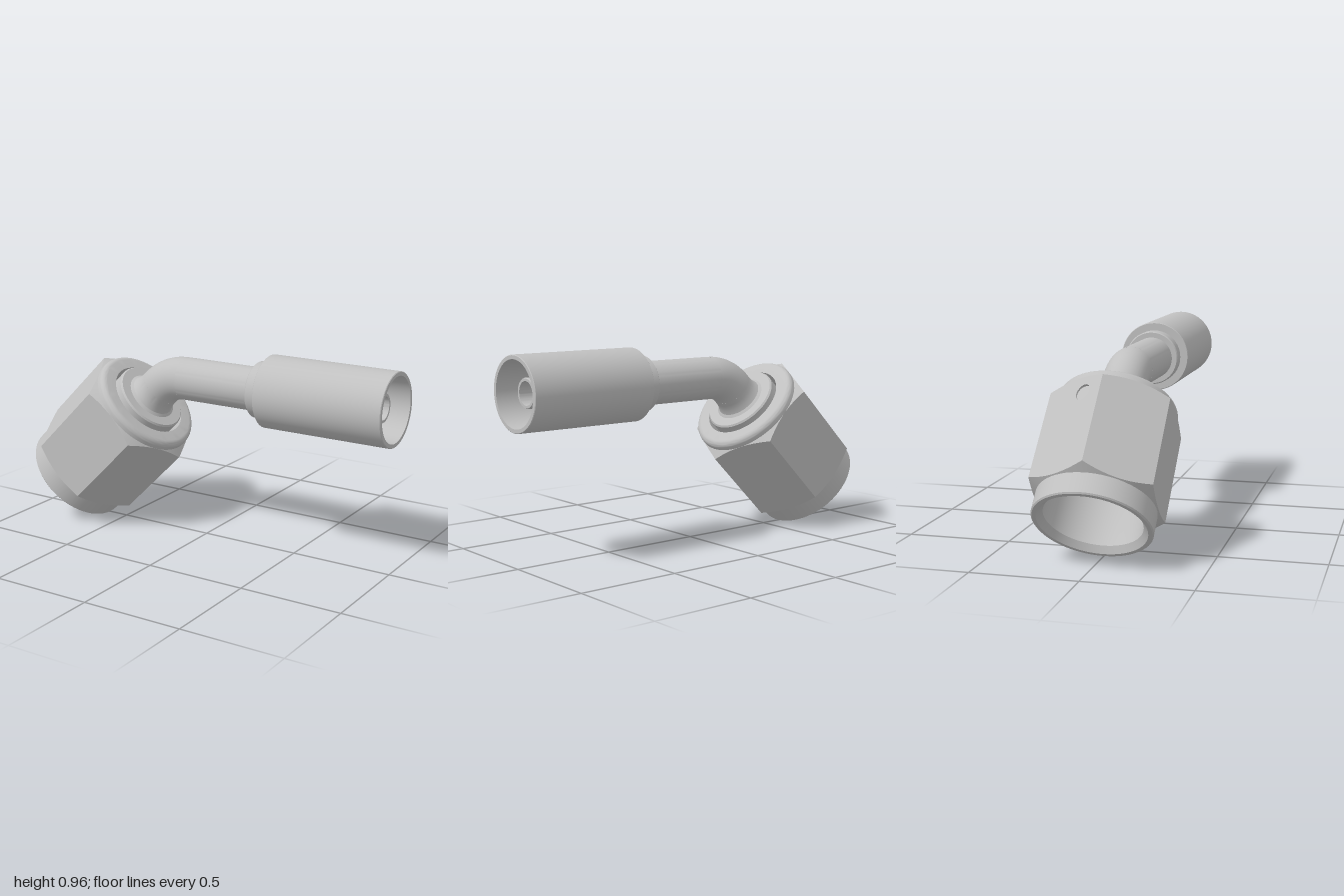
import * as THREE from 'three';
import { toCreasedNormals } from 'three/addons/utils/BufferGeometryUtils.js';

const steel = new THREE.MeshStandardMaterial({ color: 0xc0c0c0, side: THREE.DoubleSide });
steel.name = 'steel grey';

function add(parent, name, geometry) {
  const mesh = new THREE.Mesh(geometry, steel);
  mesh.name = name;
  parent.add(mesh);
  return mesh;
}

// Turned part from [radius, height] pairs, with sharp edges kept
function turned(points, segments = 64) {
  const profile = points.map(([r, h]) => new THREE.Vector2(r, h));
  return toCreasedNormals(new THREE.LatheGeometry(profile, segments), 0.5);
}

// Hexagon of the nut: flats at distance FLAT, ends cut by a 30 degree cone
const FLAT = 0.28, HALF = FLAT * Math.tan(Math.PI / 6), SLOPE = 0.577, STEPS = 16;
const bottomAt = (r) => 0.107 + (r - FLAT) * SLOPE;
const topAt = (r) => 0.61 - (r - FLAT) * SLOPE;
const hole = { u: 0.058, s: 0.522, r: 0.04 };

function hexFlat(withHole) {
  const shape = new THREE.Shape();
  for (let i = 0; i <= STEPS; i++) {
    const u = -HALF + (2 * HALF * i) / STEPS;
    const s = bottomAt(Math.hypot(FLAT, u));
    i ? shape.lineTo(u, s) : shape.moveTo(u, s);
  }
  for (let i = STEPS; i >= 0; i--) {
    const u = -HALF + (2 * HALF * i) / STEPS;
    shape.lineTo(u, topAt(Math.hypot(FLAT, u)));
  }
  shape.closePath();
  if (withHole) {
    const path = new THREE.Path();
    path.absarc(hole.u, hole.s, hole.r, 0, Math.PI * 2, true);
    shape.holes.push(path);
  }
  return new THREE.ShapeGeometry(shape, 24).translate(0, 0, FLAT);
}

// Strip of the cone between the edge of one flat and the round body
function hexChamfer(heightAt, isTop) {
  const geo = new THREE.PlaneGeometry(2 * HALF, 1, STEPS, 1);
  const pos = geo.attributes.position;
  const inner = 0.265;
  for (let i = 0; i < pos.count; i++) {
    const u = pos.getX(i);
    const r = Math.hypot(FLAT, u);
    const onEdge = pos.getY(i) > 0 !== isTop;
    const k = onEdge ? 1 : inner / r;
    pos.setXYZ(i, u * k, heightAt(onEdge ? r : inner), FLAT * k);
  }
  geo.computeVertexNormals();
  return geo;
}

function makeNut() {
  const nut = new THREE.Group();
  nut.name = 'swivelNut';

  // Round body: lower skirt, bore and rounded top flange
  const flange = [];
  for (let i = 0; i <= 8; i++) {
    const a = (i / 8) * Math.PI / 2;
    flange.push([0.25 + 0.03 * Math.cos(a), 0.623 + 0.03 * Math.sin(a)]);
  }
  add(nut, 'nutBody', turned([
    [0.225, 0.03], [0.25, 0], [0.268, 0], [0.274, 0.006], [0.274, 0.598], [0.28, 0.6],
    ...flange, [0.2, 0.653], [0.2, 0.56], [0.225, 0.5], [0.225, 0.03],
  ]));

  // Six flats with their chamfers
  for (let k = 0; k < 6; k++) {
    const side = new THREE.Group();
    side.name = 'hexSide';
    side.rotation.y = Math.PI / 2 - (Math.PI / 6 + (k * Math.PI) / 3);
    add(side, 'hexFlat', hexFlat(k === 3));
    add(side, 'topChamfer', hexChamfer(topAt, true));
    add(side, 'bottomChamfer', hexChamfer(bottomAt, false));
    if (k === 3) {
      // Small blind hole drilled into one flat
      const pit = add(side, 'drilledHole', turned([[hole.r, 0], [hole.r, -0.045], [0, -0.065]], 24));
      pit.rotation.x = Math.PI / 2;
      pit.position.set(hole.u, hole.s, FLAT);
    }
    nut.add(side);
  }

  // Seat of the tube held inside the nut, with its collar and neck
  add(nut, 'tubeSeat', turned([
    [0.055, 0.36], [0.18, 0.36], [0.195, 0.375], [0.195, 0.52], [0.185, 0.55], [0.185, 0.672],
    [0.178, 0.68], [0.13, 0.68], [0.117, 0.69], [0.109, 0.71], [0.105, 0.74], [0.105, 0.763],
    [0.055, 0.763], [0.055, 0.36],
  ]));
  return nut;
}

export function createModel() {
  const model = new THREE.Group();
  model.name = 'hoseFitting';

  const nut = makeNut();
  nut.position.set(-0.807, 0.195, 0);
  nut.rotation.z = -Math.PI / 4;
  model.add(nut);

  // 45 degree bend, outside and bore
  for (const [name, r] of [['tubeBend', 0.105], ['bendBore', 0.055]]) {
    const bend = add(model, name, new THREE.TorusGeometry(0.21, r, 40, 20, Math.PI / 4));
    bend.position.set(-0.12, 0.585, 0);
    bend.rotation.z = Math.PI / 2;
  }

  // Straight parts, turned about the horizontal axis
  const run = new THREE.Group();
  run.name = 'straightRun';
  run.position.y = 0.795;
  run.rotation.z = -Math.PI / 2;
  model.add(run);
  add(run, 'straightTube', turned([[0.105, -0.12], [0.105, 0.3]]));
  add(run, 'stepCollar', turned([[0.1, 0.29], [0.13, 0.29], [0.135, 0.295], [0.135, 0.36]]));
  add(run, 'crimpSleeve', turned([
    [0.13, 0.355], [0.172, 0.355], [0.175, 0.358], [0.175, 0.997], [0.172, 1], [0.155, 1],
    [0.135, 0.42], [0.08, 0.42],
  ]));
  add(run, 'hoseNipple', turned([
    [0.087, 0.42], [0.087, 0.8], [0.07, 0.87], [0.07, 0.935], [0.067, 0.94], [0.055, 0.94],
    [0.055, -0.12],
  ]));
  return model;
}
